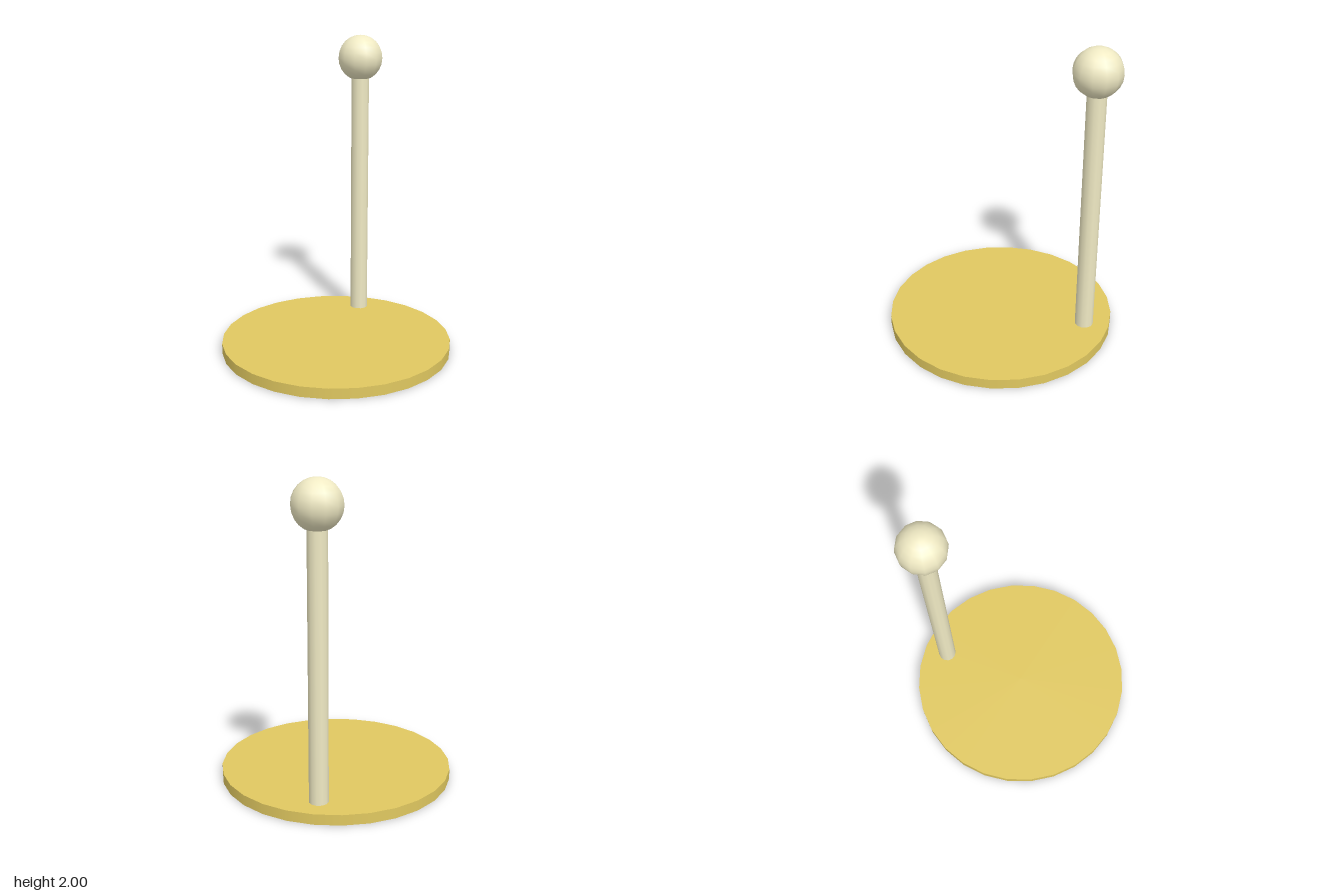
import * as THREE from 'three';

export function createModel() {
  const model = new THREE.Group();
  const brass = new THREE.MeshStandardMaterial({ color: 0xe0c860 });
  const ivory = new THREE.MeshStandardMaterial({ color: 0xf0eac4 });
  const postZ = -0.583;

  const add = (name, geometry, material, y, z) => {
    const mesh = new THREE.Mesh(geometry, material);
    mesh.name = name;
    mesh.position.set(0, y, z);
    model.add(mesh);
  };

  // Thin round base
  const baseH = 0.067;
  add('base', new THREE.CylinderGeometry(0.75, 0.75, baseH, 28), brass, baseH / 2, 0);

  // Upright post near the back edge, running up into the knob
  const postTop = 1.75;
  add('post', new THREE.CylinderGeometry(0.061, 0.061, postTop - baseH, 12), ivory, (postTop + baseH) / 2, postZ);

  // Round knob on top
  const knobR = 0.152;
  add('knob', new THREE.SphereGeometry(knobR, 12, 12), ivory, 2 - knobR, postZ);

  return model;
}
